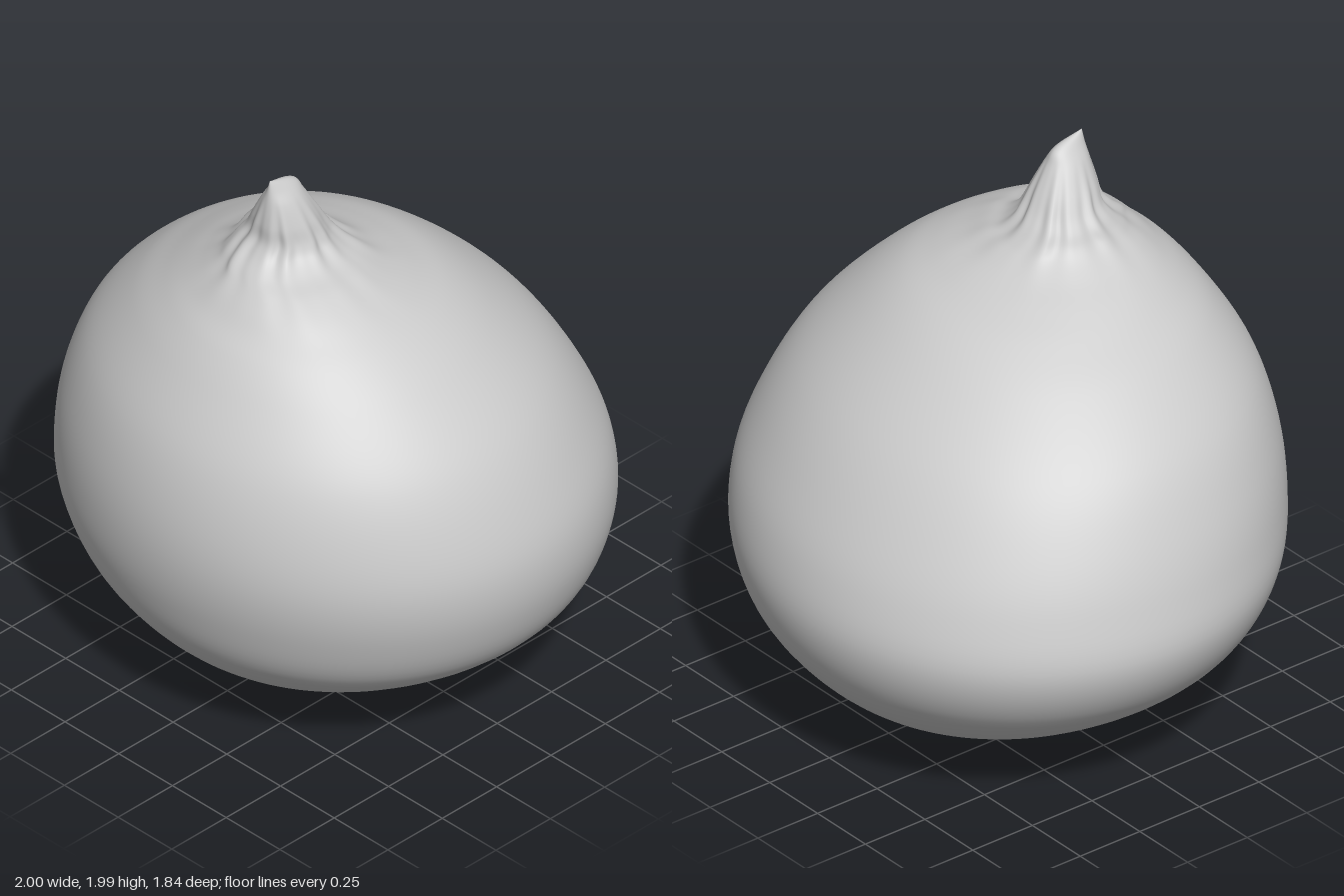
import * as THREE from 'three';

// Horizontal sections: height, right edge, left edge, back edge, front edge
const SECTIONS = [
  [0, -0.02, -0.02, -0.06, -0.06],
  [0.025, -0.22, 0.18, -0.24, 0.14],
  [0.1, -0.43, 0.39, -0.45, 0.38],
  [0.2, -0.65, 0.62, -0.67, 0.62],
  [0.4, -0.9, 0.88, -0.855, 0.81],
  [0.6, -0.997, 0.975, -0.917, 0.89],
  [0.8, -0.975, 0.995, -0.885, 0.92],
  [1.0, -0.91, 0.945, -0.79, 0.905],
  [1.2, -0.8, 0.845, -0.65, 0.845],
  [1.4, -0.6, 0.665, -0.44, 0.725],
  [1.5, -0.455, 0.545, -0.3, 0.645],
  [1.56, -0.36, 0.455, -0.17, 0.58],
  [1.61, -0.27, 0.37, -0.06, 0.53],
  [1.65, -0.21, 0.29, 0, 0.485],
  [1.68, -0.18, 0.21, 0.035, 0.45],
  [1.72, -0.155, 0.16, 0.07, 0.4],
  [1.76, -0.125, 0.14, 0.1, 0.37],
  [1.82, -0.09, 0.12, 0.135, 0.362],
  [1.9, -0.04, 0.085, 0.185, 0.347],
  [1.945, -0.005, 0.055, 0.215, 0.338],
  [1.985, 0.025, 0.025, 0.33, 0.33],
];
const AROUND = 128;
const STEPS = 6;

// One point of a section; the neck is gathered into pleats
function sectionPoint([y, x0, x1, z0, z1], angle) {
  const pleat = 0.04 * Math.exp(-(((y - 1.75) / 0.1) ** 2));
  const r = 1 + pleat * (Math.sin(11 * angle) + 0.5 * Math.sin(17 * angle + 1));
  const skew = 0.03 * (x1 - x0);
  const c = Math.cos(angle) * r, s = Math.sin(angle) * r;
  return new THREE.Vector3(
    (x0 + x1) / 2 + ((x1 - x0) / 2) * c + skew * s * 0.5,
    y,
    (z0 + z1) / 2 + ((z1 - z0) / 2) * s + skew * c * 0.5
  );
}

// Smooth skin lofted through the sections
function loftGeometry() {
  const rows = (SECTIONS.length - 1) * STEPS + 1;
  const positions = [], indices = [];
  for (let i = 0; i < AROUND; i++) {
    const angle = (i / AROUND) * Math.PI * 2;
    const curve = new THREE.CatmullRomCurve3(SECTIONS.map((s) => sectionPoint(s, angle)));
    for (const p of curve.getPoints(rows - 1)) positions.push(p.x, Math.max(p.y, 0), p.z);
    const next = ((i + 1) % AROUND) * rows;
    for (let j = 0; j < rows - 1; j++) {
      const a = i * rows + j, b = next + j;
      if (j < rows - 2) indices.push(a, a + 1, b + 1);
      if (j > 0) indices.push(a, b + 1, b);
    }
  }
  const geometry = new THREE.BufferGeometry();
  geometry.setAttribute('position', new THREE.Float32BufferAttribute(positions, 3));
  geometry.setIndex(indices);
  geometry.computeVertexNormals();
  return geometry;
}

export function createModel() {
  const group = new THREE.Group();
  group.name = 'bulb';
  const material = new THREE.MeshStandardMaterial({ color: 0xcccccc });
  const body = new THREE.Mesh(loftGeometry(), material);
  body.name = 'bulbBodyWithPleatedTip';
  group.add(body);
  return group;
}
